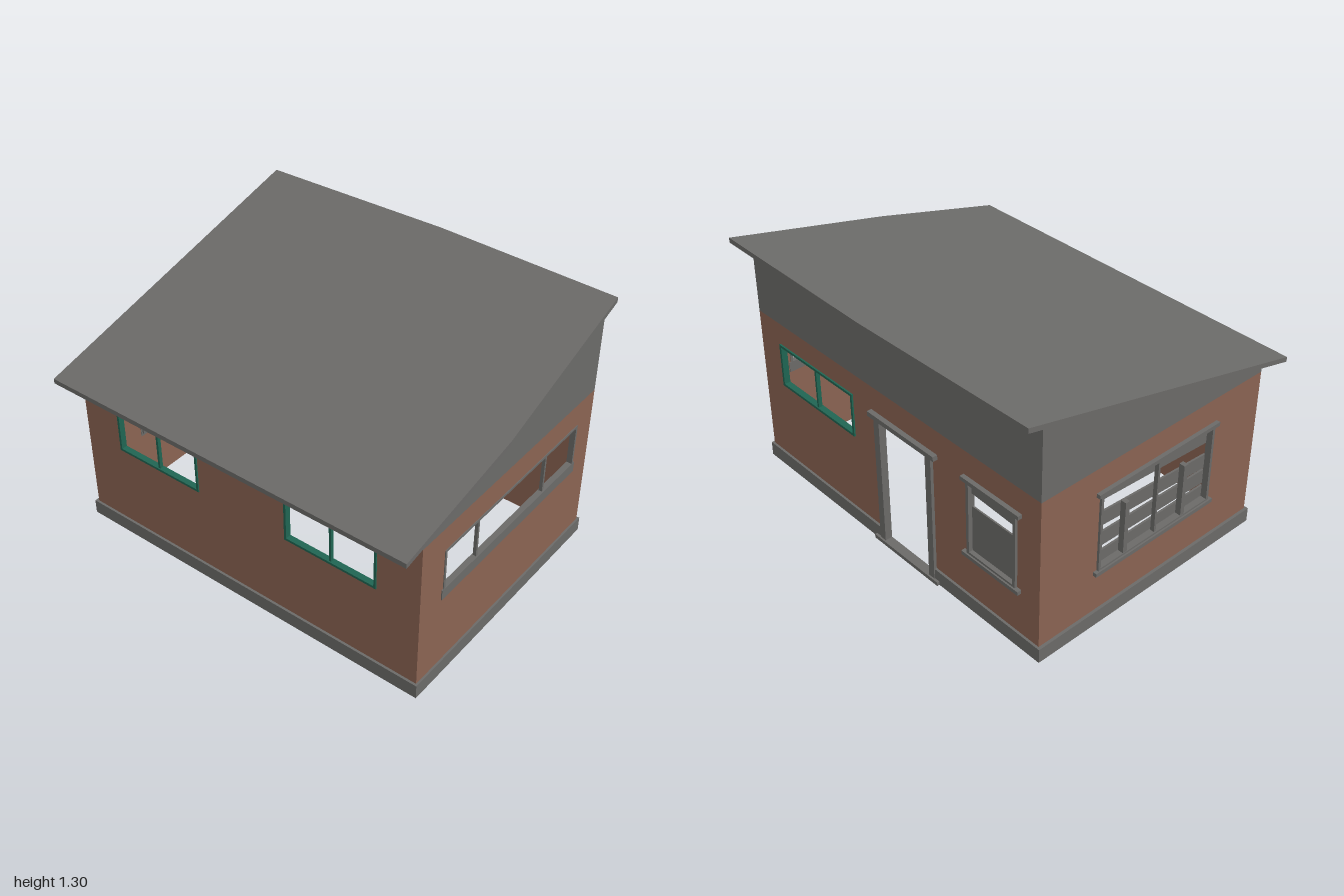
import * as THREE from 'three';

const mat = (name, color) => {
  const m = new THREE.MeshStandardMaterial({ color });
  m.name = name;
  return m;
};

export function createModel() {
  const brick = mat('brick', 0x8a6352);
  const gray = mat('weathered gray', 0x6b6a68);
  const green = mat('green paint', 0x1f6552);
  const wood = mat('rafter wood', 0x6e4a3a);

  const model = new THREE.Group();
  model.name = 'shed';
  const SLOPE = 0.253, THICK = 0.025;
  const roofTop = z => 0.89 + SLOPE * (0.81 - z);
  const under = z => roofTop(z) - THICK;

  // Each side is a group with u across, y up and depth d pointing along +z,
  // or along +x when turned (then u = -z).
  function side(name, turned, offset) {
    const g = new THREE.Group();
    g.name = name;
    if (turned) { g.rotation.y = Math.PI / 2; g.position.x = offset; }
    else g.position.z = offset;
    model.add(g);
    return g;
  }

  function box(parent, name, m, u0, u1, y0, y1, d0, d1, tilt = 0) {
    const mesh = new THREE.Mesh(new THREE.BoxGeometry(u1 - u0, y1 - y0, d1 - d0), m);
    mesh.position.set((u0 + u1) / 2, (y0 + y1) / 2, (d0 + d1) / 2);
    mesh.rotation.z = tilt;
    mesh.name = name;
    parent.add(mesh);
    return mesh;
  }

  // Flat panel with rectangular openings [u0, u1, y0, y1]
  function panel(parent, name, m, pts, holes = [], depth = 0.02) {
    const shape = new THREE.Shape(pts.map(p => new THREE.Vector2(...p)));
    for (const [a, b, c, d] of holes) {
      shape.holes.push(new THREE.Path([[a, c], [a, d], [b, d], [b, c]].map(p => new THREE.Vector2(...p))));
    }
    const mesh = new THREE.Mesh(new THREE.ExtrudeGeometry(shape, { depth, bevelEnabled: false }), m);
    mesh.name = name;
    parent.add(mesh);
  }
  const rect = (a, b, c, d) => [[a, c], [b, c], [b, d], [a, d]];

  // Window frame with upright bars
  function frame(parent, name, m, [a, b, c, d], d0, d1, t, bars = []) {
    const g = new THREE.Group();
    g.name = name;
    parent.add(g);
    box(g, 'frameBottom', m, a, b, c, c + t, d0, d1);
    box(g, 'frameTop', m, a, b, d - t, d, d0, d1);
    box(g, 'frameSide', m, a, a + t, c + t, d - t, d0, d1);
    box(g, 'frameSide', m, b - t, b, c + t, d - t, d0, d1);
    for (const u of bars) box(g, 'mullion', m, u - 0.006, u + 0.006, c + t, d - t, d0 + 0.006, d1 - 0.006);
    return g;
  }

  const front = side('frontSide', false, 0.65);
  const back = side('backSide', false, -0.68);
  const right = side('longWindowSide', true, 0.945);
  const left = side('boardedSide', true, -0.97);

  // Front wall with two green windows
  const fw = [[-0.755, -0.26, 0.51, 0.74], [0.245, 0.742, 0.51, 0.74]];
  panel(front, 'frontWall', brick, rect(-0.97, 0.965, 0, 0.86), fw);
  fw.forEach((w, i) => frame(front, 'frontWindow', green, w, -0.004, 0.026, 0.012, [i ? 0.495 : -0.508]));
  box(front, 'frontUpperWall', gray, -0.97, 0.965, 0.86, under(0.67), 0, 0.02);

  // Back wall with green window, doorway and small boarded window
  const bw = [0.25, 0.81, 0.51, 0.745], sw = [-0.835, -0.53, 0.32, 0.72];
  panel(back, 'backWall', brick, rect(-0.97, 0.965, 0, 0.86), [bw, [-0.29, 0.065, 0.004, 0.72], sw]);
  frame(back, 'backWindow', green, bw, -0.008, 0.024, 0.013, [0.535]);
  box(back, 'backUpperWall', gray, -0.97, 0.965, 0.86, under(-0.68), 0, 0.02);
  box(back, 'doorPost', gray, -0.305, -0.268, 0.02, 0.71, -0.016, 0.022);
  box(back, 'doorPost', gray, 0.048, 0.085, 0.02, 0.71, -0.016, 0.022);
  box(back, 'doorHead', gray, -0.335, 0.117, 0.71, 0.735, -0.025, 0.022);
  box(back, 'doorSill', gray, -0.335, 0.117, 0, 0.02, -0.025, 0.022);
  frame(back, 'smallWindow', gray, sw, -0.014, 0.022, 0.016);
  box(back, 'smallWindowHead', gray, -0.86, -0.505, 0.715, 0.735, -0.022, 0);
  box(back, 'smallWindowSill', gray, -0.86, -0.505, 0.305, 0.325, -0.022, 0);
  box(back, 'smallWindowPanel', gray, -0.825, -0.54, 0.33, 0.58, 0.008, 0.016);
  box(back, 'smallWindowBoard', gray, -0.825, -0.54, 0.645, 0.7, 0.006, 0.016, 0.05);

  // Long window on the +x side
  const lw = [-0.505, 0.55, 0.5, 0.735];
  panel(right, 'rightWall', brick, rect(-0.65, 0.66, 0, 0.86), [lw]);
  frame(right, 'longWindow', gray, lw, -0.004, 0.024, 0.012, [-0.248, 0.29]);
  box(right, 'longWindowSill', gray, -0.515, 0.56, 0.46, 0.515, -0.004, 0.025);

  // Boarded window on the -x side
  const tw = [-0.365, 0.345, 0.3, 0.72];
  panel(left, 'leftWall', brick, rect(-0.65, 0.66, 0, 0.86), [tw]);
  frame(left, 'boardedWindow', gray, tw, -0.012, 0.022, 0.014, [-0.015]);
  box(left, 'boardedWindowHead', gray, -0.385, 0.365, 0.715, 0.735, -0.02, 0);
  box(left, 'boardedWindowSill', gray, -0.385, 0.365, 0.285, 0.305, -0.02, 0);
  for (const [y, h, tilt] of [[0.665, 0.055, 0.06], [0.535, 0.075, 0.06], [0.435, 0.075, 0.02], [0.345, 0.06, 0]]) {
    box(left, 'slantedBoard', gray, -0.355, 0.35, y - h / 2, y + h / 2, 0.02, 0.03, tilt);
  }
  for (const u of [-0.19, 0.18]) box(left, 'uprightBoard', gray, u - 0.012, u + 0.012, 0.29, 0.592, -0.01, 0.02);

  // Gables under the sloping roof
  for (const s of [right, left]) {
    panel(s, 'gable', gray, [[-0.65, 0.86], [0.66, 0.86], [0.66, under(-0.66)], [-0.65, under(0.65)]]);
  }

  // Plinth, open at the doorway
  const plinth = new THREE.Group();
  plinth.name = 'plinth';
  model.add(plinth);
  box(plinth, 'plinthFront', gray, -0.985, 0.975, 0, 0.075, 0.668, 0.682);
  box(plinth, 'plinthBack', gray, -0.985, -0.305, 0, 0.075, -0.692, -0.678);
  box(plinth, 'plinthBack', gray, 0.085, 0.975, 0, 0.075, -0.692, -0.678);
  box(plinth, 'plinthRight', gray, 0.963, 0.975, 0, 0.075, -0.678, 0.668);
  box(plinth, 'plinthLeft', gray, -0.985, -0.968, 0, 0.075, -0.678, 0.668);

  // Roof slab with slightly uneven edges, sheared to the slope
  const outline = [[-1, 0.81], [0.98, 0.803], [0.998, 0.1], [0.96, -0.797], [0, -0.812], [-1, -0.785]];
  const slab = new THREE.ExtrudeGeometry(
    new THREE.Shape(outline.map(([x, z]) => new THREE.Vector2(x, -z))), { depth: THICK, bevelEnabled: false });
  slab.rotateX(-Math.PI / 2);
  const p = slab.attributes.position;
  for (let i = 0; i < p.count; i++) p.setY(i, p.getY(i) + under(p.getZ(i)));
  slab.computeVertexNormals();
  const roof = new THREE.Mesh(slab, gray);
  roof.name = 'roof';
  model.add(roof);

  // Rafters under the roof
  for (const x of [-0.74, -0.24, 0.32, 0.75]) {
    const r = new THREE.Mesh(new THREE.BoxGeometry(0.05, 0.014, 1.6), wood);
    r.position.set(x, under(-0.01) - 0.006, -0.01);
    r.rotation.x = Math.atan(SLOPE);
    r.scale.z = 0.98;
    r.name = 'rafter';
    model.add(r);
  }
  return model;
}
